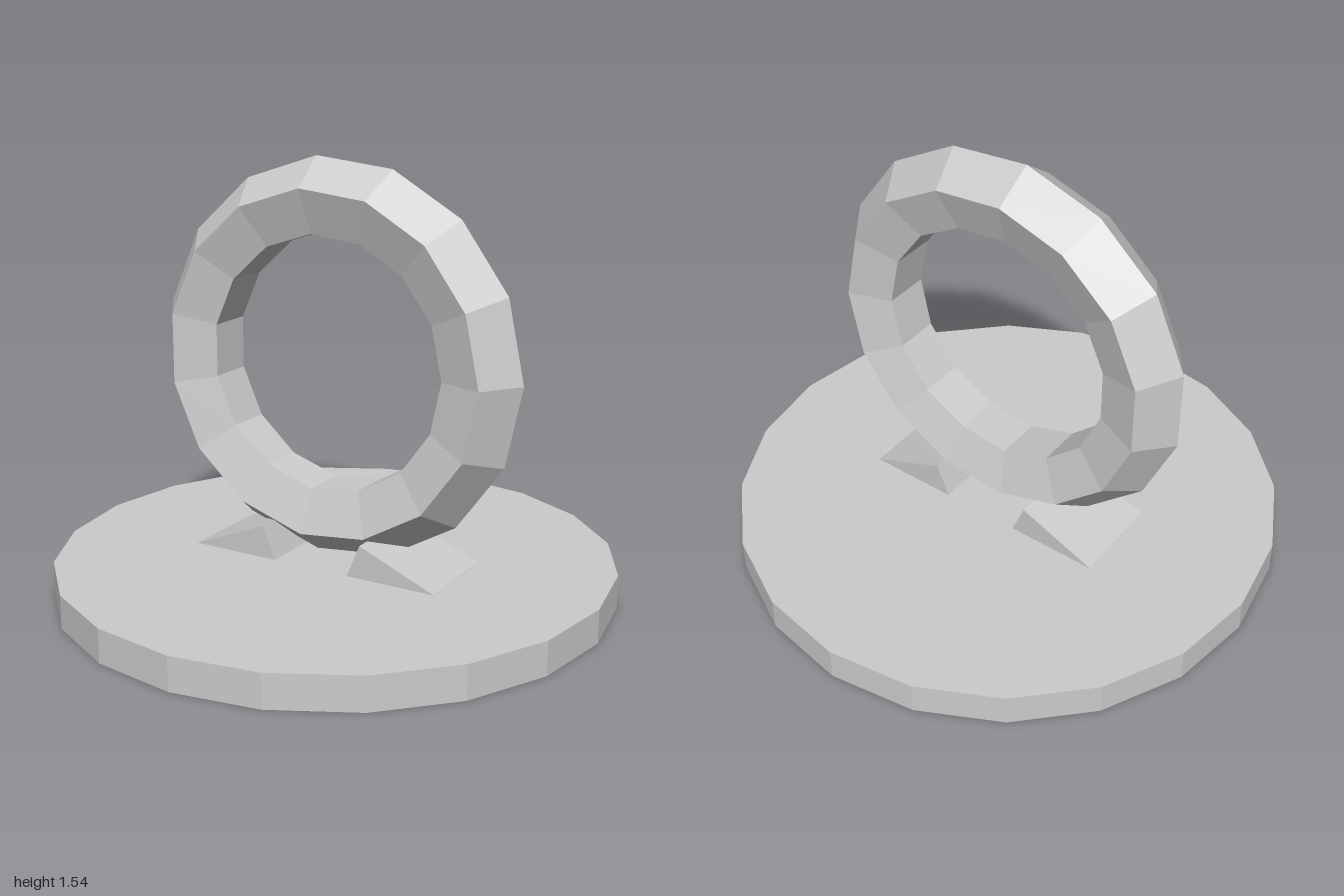
import * as THREE from 'three';

export function createModel() {
  const model = new THREE.Group();
  const material = new THREE.MeshStandardMaterial({ color: 0xcccccc, flatShading: true });

  function addPart(name, geometry, x, y) {
    const mesh = new THREE.Mesh(geometry, material);
    mesh.name = name;
    mesh.position.set(x, y, 0);
    model.add(mesh);
    return mesh;
  }

  // Round base plate
  const baseHeight = 0.12;
  addPart('base', new THREE.CylinderGeometry(1, 1, baseHeight, 20), 0, baseHeight / 2);

  // Upright ring with a five-sided section
  addPart('ring', new THREE.TorusGeometry(0.568, 0.142, 5, 15), 0, 0.83);

  // Tilted blocks sunk into the base, cradling the ring on both sides
  for (const side of [1, -1]) {
    const block = addPart(
      side > 0 ? 'leftSupport' : 'rightSupport',
      new THREE.BoxGeometry(0.31, 0.13, 0.345),
      side * 0.315, 0.12
    );
    block.rotation.z = -side * Math.PI / 8;
  }

  return model;
}
